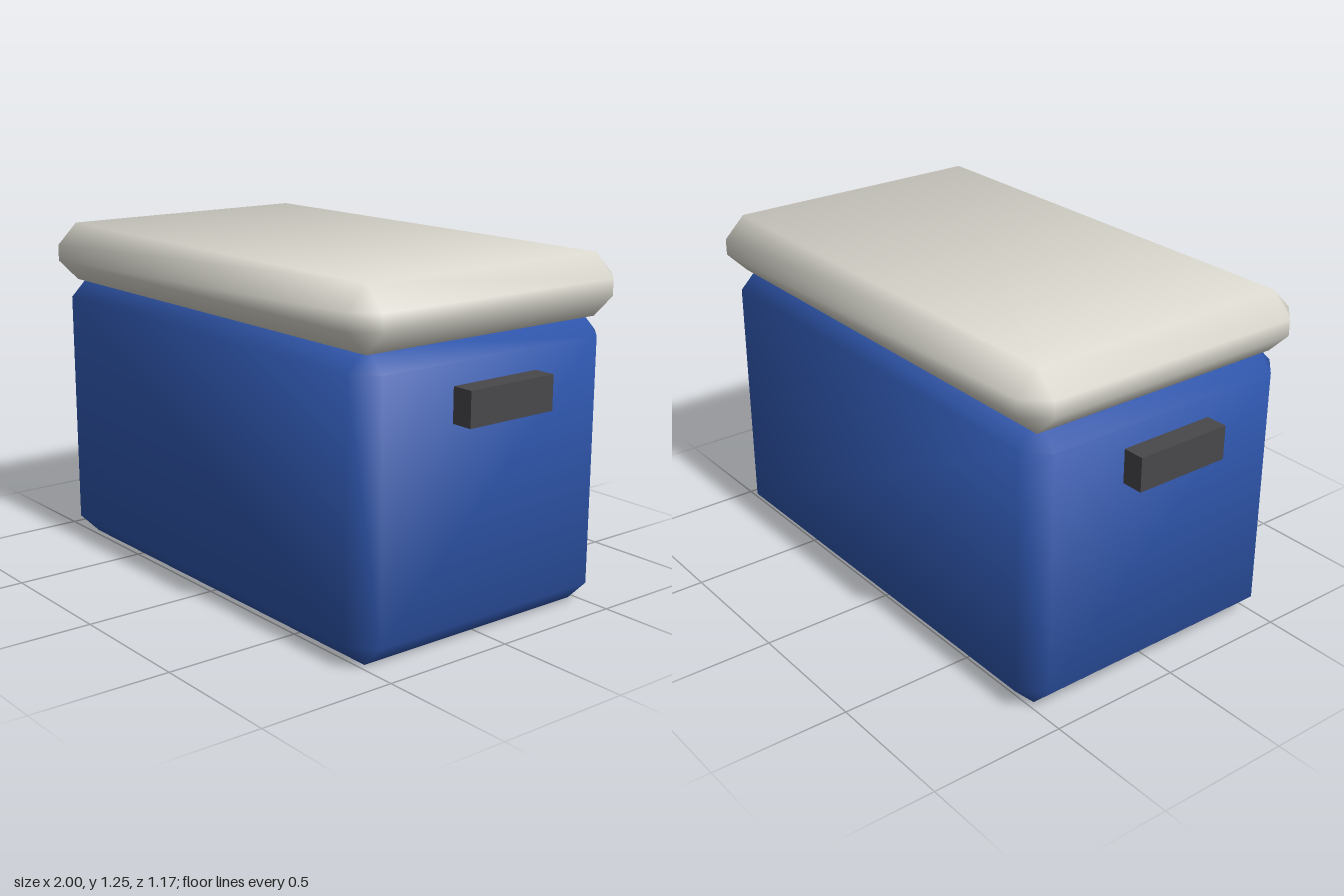
import * as THREE from 'three';
import { ConvexGeometry } from 'three/addons/geometries/ConvexGeometry.js';

// Box with one straight chamfer on every edge, shaded smoothly across it
function chamferedBox(w, h, d, c) {
  const half = [w / 2, h / 2, d / 2];
  const points = [];
  for (const sx of [-1, 1]) for (const sy of [-1, 1]) for (const sz of [-1, 1]) {
    const s = [sx, sy, sz];
    for (let axis = 0; axis < 3; axis++) {
      points.push(new THREE.Vector3(...half.map((v, i) => s[i] * (i === axis ? v : v - c))));
    }
  }
  const geo = new ConvexGeometry(points);
  const pos = geo.attributes.position, normal = geo.attributes.normal;
  // Each corner point leans from its own face towards the two chamfers beside it
  for (let i = 0; i < pos.count; i++) {
    const p = [pos.getX(i), pos.getY(i), pos.getZ(i)];
    const n = p.map((v, k) => Math.sign(v) * (Math.abs(v) > half[k] - c / 2 ? 0.876 : 0.341));
    normal.setXYZ(i, n[0], n[1], n[2]);
  }
  return geo;
}

export function createModel() {
  const group = new THREE.Group();
  group.name = 'coolBox';

  const blue = new THREE.MeshStandardMaterial({ color: 0x3058b0 });
  blue.name = 'blue';
  const offWhite = new THREE.MeshStandardMaterial({ color: 0xdedcd2 });
  offWhite.name = 'offWhite';
  const darkGrey = new THREE.MeshStandardMaterial({ color: 0x48484c });
  darkGrey.name = 'darkGrey';

  function add(name, geometry, material, x, y, z) {
    const mesh = new THREE.Mesh(geometry, material);
    mesh.name = name;
    mesh.position.set(x, y, z);
    group.add(mesh);
  }

  // Body, its top edge tucked into the lid
  add('body', chamferedBox(1.84, 1.05, 1.11, 0.08), blue, 0, 0.525, 0);

  // Overhanging lid
  add('lid', chamferedBox(1.91, 0.22, 1.174, 0.08), offWhite, 0, 1.14, 0);

  // Block handles on both ends
  for (const [name, side] of [['leftHandle', 1], ['rightHandle', -1]]) {
    add(name, new THREE.BoxGeometry(0.11, 0.123, 0.368), darkGrey, side * 0.945, 0.833, 0);
  }

  return group;
}
